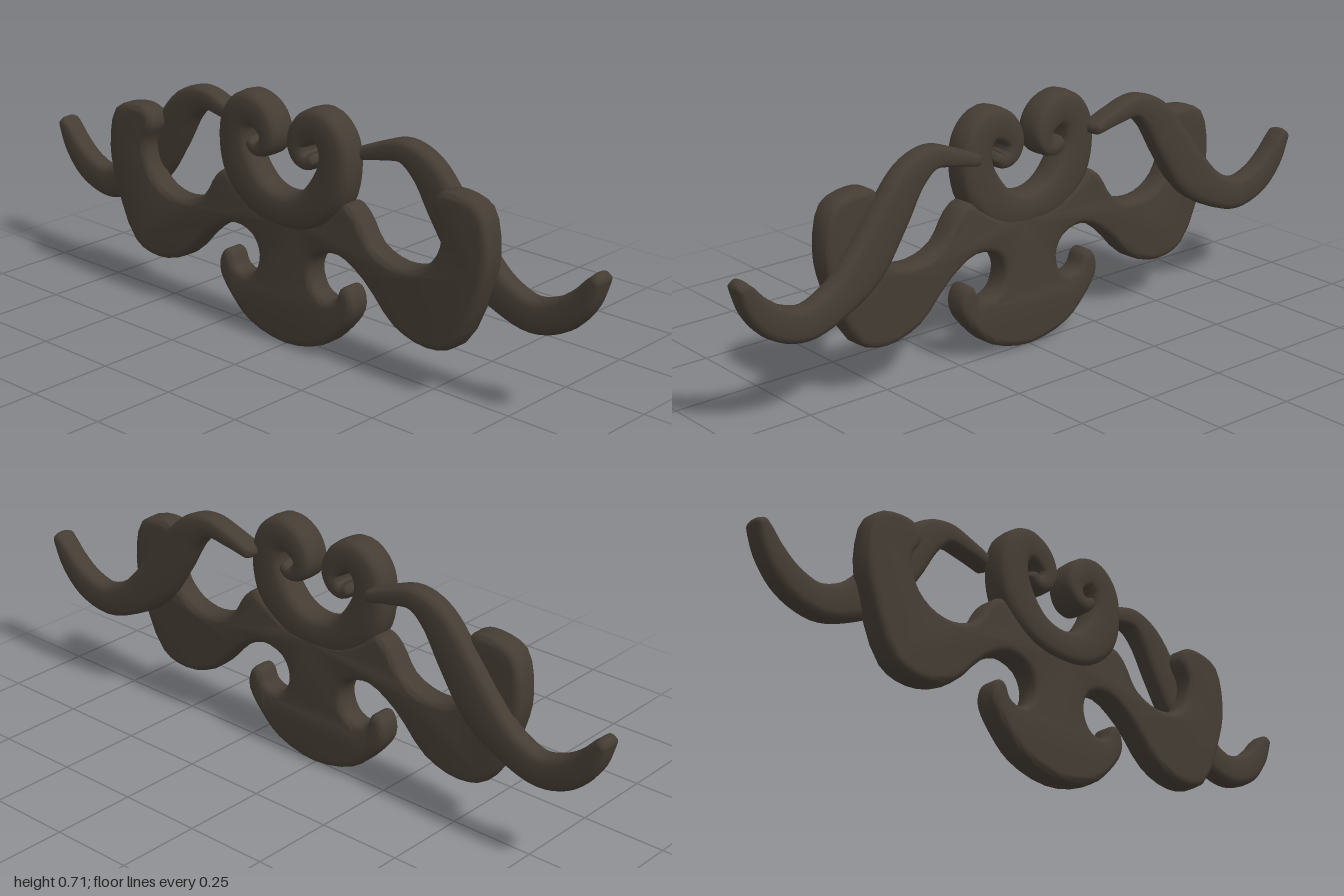
import * as THREE from 'three';
import { toCreasedNormals } from 'three/addons/utils/BufferGeometryUtils.js';

const iron = new THREE.MeshStandardMaterial({ color: 0x453d34 });
iron.name = 'dark bronze';

const mirrorX = (list) => list.map(([x, ...rest]) => [-x, ...rest]).reverse();

// Sweeps a rounded-square section along [x, y, halfWidth] points, with domed ends.
function sweep(points, halfDepth, zAt) {
  const curve = new THREE.CatmullRomCurve3(points.map((p) => new THREE.Vector3(...p)), false, 'centripetal');
  const steps = (points.length - 1) * 5, sides = 16;
  const rings = [];
  for (let i = 0; i <= steps; i++) {
    const p = curve.getPoint(i / steps);
    const t = curve.getTangent(i / steps);
    const l = Math.hypot(t.x, t.y);
    const ring = (along, scale) => rings.push({
      x: p.x + (t.x / l) * along, y: p.y + (t.y / l) * along,
      nx: -t.y / l, ny: t.x / l, r: p.z * scale, d: halfDepth * scale,
    });
    if (i === 0) for (const a of [1.5708, 1.2, 0.8, 0.4]) ring(-p.z * Math.sin(a), Math.cos(a));
    ring(0, 1);
    if (i === steps) for (const a of [0.4, 0.8, 1.2, 1.5708]) ring(p.z * Math.sin(a), Math.cos(a));
  }
  const soft = (v) => Math.sign(v) * Math.abs(v) ** 0.6;
  const pos = [], index = [];
  rings.forEach((g, i) => {
    for (let j = 0; j < sides; j++) {
      const a = (j / sides) * Math.PI * 2;
      const w = soft(Math.cos(a)) * g.r;
      pos.push(g.x + g.nx * w, g.y + g.ny * w, zAt(g.x) + soft(Math.sin(a)) * g.d);
      if (i === rings.length - 1) continue;
      const k = (j + 1) % sides, b = i * sides, c = b + sides;
      index.push(b + j, b + k, c + j, b + k, c + k, c + j);
    }
  });
  const geo = new THREE.BufferGeometry();
  geo.setAttribute('position', new THREE.Float32BufferAttribute(pos, 3));
  geo.setIndex(index);
  geo.computeVertexNormals();
  return geo;
}

export function createModel() {
  const model = new THREE.Group();
  const ornament = new THREE.Group();
  ornament.name = 'ornament';
  ornament.rotation.y = 0.014;
  model.add(ornament);
  const add = (name, geo) => {
    const mesh = new THREE.Mesh(geo, iron);
    mesh.name = name;
    ornament.add(mesh);
  };

  // Body: anchor foot, stem and both wings in one mirrored outline
  const half = [
    [0.136, 0.032], [0.205, 0.09], [0.25, 0.155], [0.247, 0.205], [0.225, 0.228], [0.203, 0.218],
    [0.188, 0.185], [0.155, 0.172], [0.115, 0.19], [0.097, 0.245], [0.122, 0.295], [0.195, 0.313],
    [0.286, 0.265], [0.393, 0.163], [0.505, 0.131], [0.598, 0.16], [0.68, 0.33], [0.7, 0.435],
    [0.672, 0.555], [0.59, 0.583], [0.535, 0.572], [0.515, 0.53], [0.545, 0.475], [0.53, 0.4],
    [0.48, 0.353], [0.4, 0.338], [0.315, 0.368], [0.265, 0.44], [0.222, 0.468], [0.18, 0.44], [0.1, 0.4],
  ];
  const outline = [[0, 0], ...half, [0, 0.39], ...mirrorX(half)];
  const loop = new THREE.CatmullRomCurve3(outline.map(([x, y]) => new THREE.Vector3(x, y, 0)), true, 'centripetal');
  const shape = new THREE.Shape(loop.getPoints(192).slice(0, -1).map((p) => new THREE.Vector2(p.x, p.y)));
  const bevel = 0.02;
  const body = new THREE.ExtrudeGeometry(shape, {
    depth: 0.078 - 2 * bevel, bevelEnabled: true, bevelSize: bevel,
    bevelThickness: bevel, bevelOffset: -bevel, bevelSegments: 4,
  });
  body.translate(0, 0, -0.017 + bevel);
  add('wingedBody', toCreasedNormals(body, 0.9));

  // Heart: one stroke that curls into a scroll at each end
  const scroll = [
    [0.09, 0.42, 0.056], [0.16, 0.487, 0.063], [0.184, 0.57, 0.055], [0.172, 0.632, 0.053],
    [0.13, 0.665, 0.05], [0.077, 0.645, 0.045], [0.052, 0.602, 0.034], [0.065, 0.568, 0.028],
    [0.096, 0.557, 0.022], [0.115, 0.57, 0.017],
  ];
  add('heartScroll', sweep([...mirrorX(scroll), [0, 0.4, 0.05], ...scroll], 0.048, () => 0.03));

  // Branches: S-curves behind the wings, leaning back toward their tips
  const branch = [
    [0.22, 0.595, 0.018], [0.29, 0.616, 0.025], [0.37, 0.631, 0.034], [0.44, 0.594, 0.05],
    [0.515, 0.495, 0.062], [0.6, 0.385, 0.066], [0.69, 0.317, 0.053], [0.79, 0.283, 0.048],
    [0.88, 0.309, 0.046], [0.94, 0.363, 0.037], [0.97, 0.41, 0.026], [0.981, 0.428, 0.019],
  ];
  const lean = (x) => -0.016 - 0.022 * Math.abs(x);
  add('leftBranch', sweep(branch, 0.034, lean));
  add('rightBranch', sweep(mirrorX(branch), 0.034, lean));

  return model;
}
